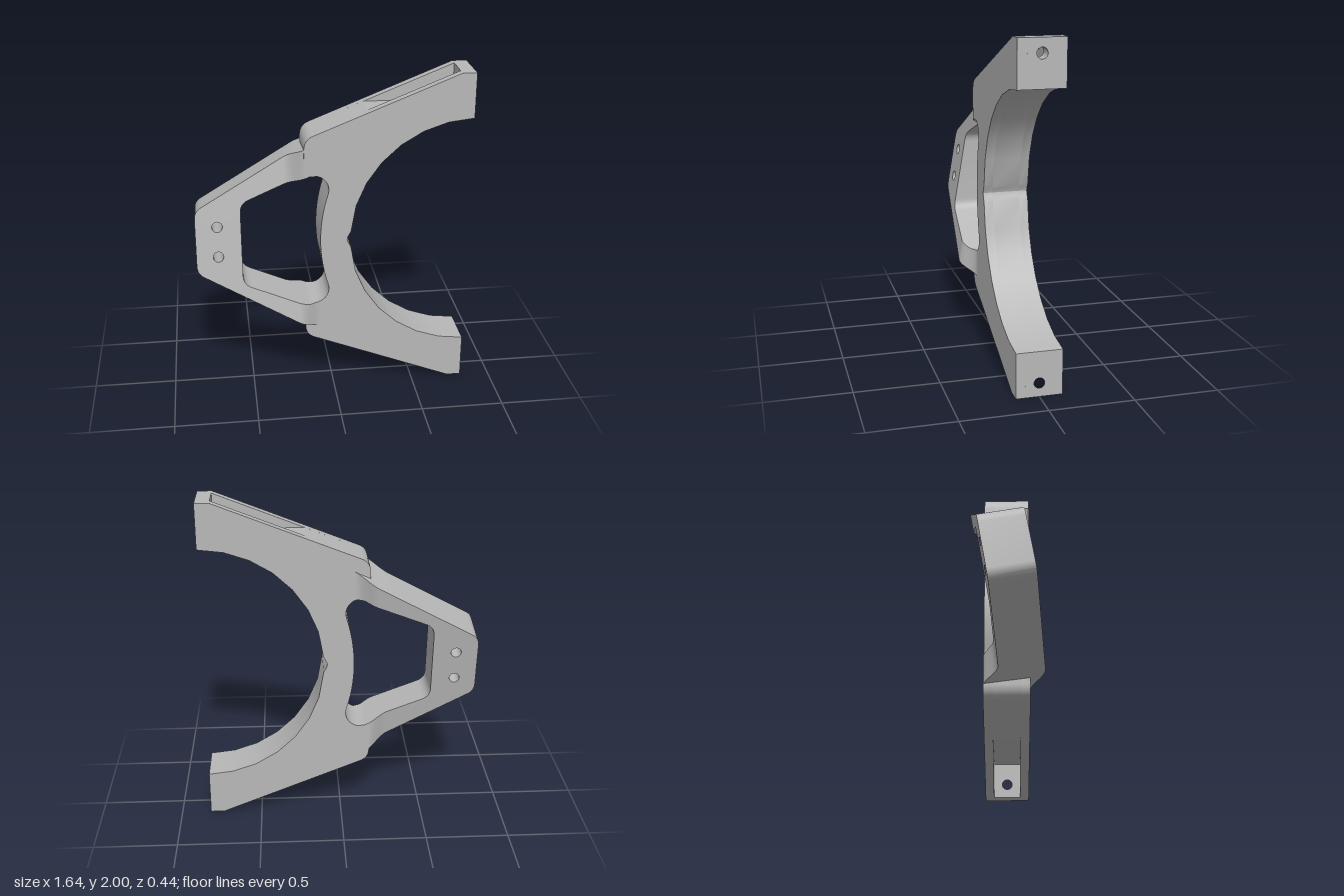
import * as THREE from 'three';
import { toCreasedNormals } from 'three/addons/utils/BufferGeometryUtils.js';

const HALF = 0.136;   // half thickness of the bracket
const POCKET = 0.082; // half width of the pockets in the jaw ends
const TILT = 0.17;    // slope of the twisted tail frame
const LEAN = 0.0225;  // shift of the tail's outer edges caused by the tilt
const CREASE = 0.36;

const outerY = (x) => 0.21 + 0.567 * (x + 0.78);
const innerY = (x) => Math.min(0.265 + 0.41 * (x + 0.5), 0.412);
const flip = (pts) => pts.map((p) => new THREE.Vector2(p.x, -p.y)).reverse();

// Outline of the jaw, mirrored about y = 0
function jawShape(pocketed) {
  const p = new THREE.Path();
  p.moveTo(-0.08, 0);
  p.quadraticCurveTo(-0.08, 0.15, -0.035, 0.294);
  p.absarc(-0.12, 0.325, 0.09, -0.35, 1.95, false);
  p.lineTo(-0.175, 0.4);
  p.lineTo(-0.175, 0.58);
  p.quadraticCurveTo(-0.172, 0.64, -0.12, 0.66);
  if (pocketed) {
    p.lineTo(0.2, 0.787);
    p.lineTo(0.82, 0.787);
  } else {
    p.lineTo(0.735, 1);
    p.lineTo(0.82, 1);
  }
  // faceted round mouth
  for (let i = 0; i < 7; i++) {
    const a = THREE.MathUtils.degToRad(90.8 + 12 * i);
    p.lineTo(0.83 + 0.73 * Math.cos(a), 0.73 * Math.sin(a));
  }
  p.lineTo(0.103, 0.05);
  p.lineTo(0.085, 0.018);
  p.lineTo(0.08, 0);
  const half = p.getPoints(10);
  return new THREE.Shape([...half, ...flip(half).slice(1, -1)]);
}

function slab(shape, z0, z1) {
  const g = new THREE.ExtrudeGeometry(shape, { depth: z1 - z0, bevelEnabled: false, curveSegments: 16 });
  return g.translate(0, 0, z0);
}

// Flat U-shaped part of the tail, tilted about the x axis
function tailGeometry() {
  const end = -0.3;
  const outer = new THREE.Path();
  outer.moveTo(end, outerY(end));
  outer.lineTo(-0.775, outerY(-0.775));
  outer.quadraticCurveTo(-0.82, 0.19, -0.82, 0.14);
  const inner = new THREE.Path();
  inner.moveTo(-0.55, 0.19);
  inner.quadraticCurveTo(-0.55, 0.245, -0.5, 0.265);
  inner.lineTo(end, innerY(end));
  const o = outer.getPoints(8), n = inner.getPoints(8);
  const shape = new THREE.Shape([...o, ...flip(o), ...flip(n), ...n]);
  for (const y of [-0.09, 0.09]) {
    shape.holes.push(new THREE.Path().absarc(-0.69, y, 0.031, 0, Math.PI * 2, true));
  }
  const g = slab(shape, -HALF, HALF);
  const pos = g.attributes.position;
  for (let i = 0; i < pos.count; i++) {
    const x = pos.getX(i), side = Math.sign(pos.getZ(i));
    let y = pos.getY(i);
    const isOuter = x < -0.56 || Math.abs(y) > 0.31 + 0.49 * (x + 0.5);
    if (isOuter) y += side * LEAN;
    pos.setXYZ(i, x, y, side * HALF - TILT * y);
  }
  return g;
}

// Curved arm that swings from the tilted tail back into the jaw
function armGeometry(s) {
  const verts = [], index = [], steps = 20;
  for (let i = 0; i <= steps; i++) {
    const x = -0.3 + (0.22 * i) / steps;
    for (const [edge, side] of [[1, 1], [1, -1], [0, -1], [0, 1]]) {
      const y = edge ? s * outerY(x) + side * LEAN : s * innerY(x);
      const bulges = side * s < 0;
      const blend = bulges
        ? 1 - THREE.MathUtils.smoothstep(x, -0.22, -0.08)
        : 1 - THREE.MathUtils.smoothstep(x, -0.29, -0.16);
      verts.push(x, y, side * HALF - TILT * y * blend);
    }
    if (i === steps) break;
    for (let k = 0; k < 4; k++) {
      const a = i * 4 + k, b = i * 4 + ((k + 1) % 4), c = a + 4, d = b + 4;
      if (s > 0) index.push(a, c, b, b, c, d);
      else index.push(a, b, c, b, d, c);
    }
  }
  const g = new THREE.BufferGeometry();
  g.setAttribute('position', new THREE.Float32BufferAttribute(verts, 3));
  g.setIndex(index);
  return g;
}

// Drilled wall closing the pocket at each jaw tip
function endWallGeometry(s) {
  const shape = new THREE.Shape();
  shape.moveTo(-POCKET, s * 0.787);
  shape.lineTo(POCKET, s * 0.787);
  shape.lineTo(POCKET, s);
  shape.lineTo(-POCKET, s);
  shape.holes.push(new THREE.Path().absarc(0, s * 0.918, 0.031, 0, Math.PI * 2, true));
  return slab(shape, 0, 0.085).rotateY(Math.PI / 2).translate(0.735, 0, 0);
}

export function createModel() {
  const group = new THREE.Group();
  group.name = 'clampBracket';
  const grey = new THREE.MeshStandardMaterial({ color: 0xb8b8b8 });
  grey.name = 'plain grey';

  const add = (name, geometry) => {
    geometry.deleteAttribute('uv');
    geometry.deleteAttribute('normal');
    const mesh = new THREE.Mesh(toCreasedNormals(geometry, CREASE), grey);
    mesh.name = name;
    mesh.position.y = 1;
    group.add(mesh);
  };

  // Jaw: two full cheeks around a core with pockets
  add('jawFrontCheek', slab(jawShape(false), POCKET, HALF));
  add('jawBackCheek', slab(jawShape(false), -HALF, -POCKET));
  add('jawCore', slab(jawShape(true), -POCKET, POCKET));

  add('tailFrame', tailGeometry());
  for (const [name, s] of [['upper', 1], ['lower', -1]]) {
    add(name + 'Arm', armGeometry(s));
    add(name + 'EndWall', endWallGeometry(s));
  }
  return group;
}
